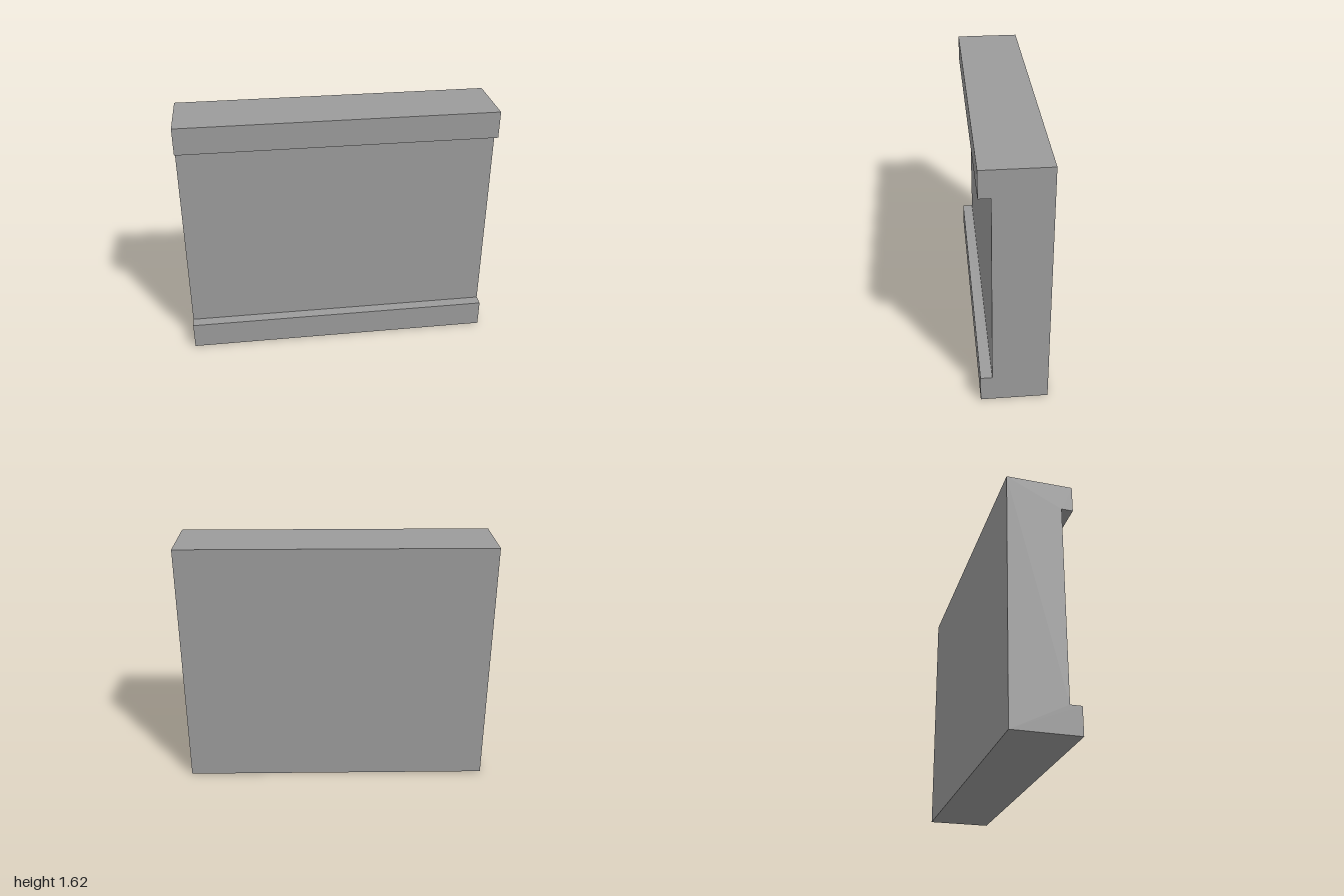
import * as THREE from 'three';

export function createModel() {
  const group = new THREE.Group();
  const width = 2, height = 1.62, halfDepth = 0.208;
  const recessZ = 0.136, lowerLip = 0.175, upperLip = 1.448;

  // C-shaped side profile: shape x becomes z, shape y stays up
  const profile = new THREE.Shape([
    [-halfDepth, 0], [halfDepth, 0], [halfDepth, lowerLip], [recessZ, lowerLip],
    [recessZ, upperLip], [halfDepth, upperLip], [halfDepth, height], [-halfDepth, height],
  ].map(([z, y]) => new THREE.Vector2(z, y)));

  // Panel with a lip along the top and bottom of its front
  const geometry = new THREE.ExtrudeGeometry(profile, { depth: width, bevelEnabled: false });
  geometry.translate(0, 0, -width / 2).rotateY(-Math.PI / 2);
  const panel = new THREE.Mesh(
    geometry,
    new THREE.MeshStandardMaterial({ color: 0x9c9c9c, flatShading: true })
  );
  panel.name = 'lippedPanel';
  group.add(panel);
  return group;
}
